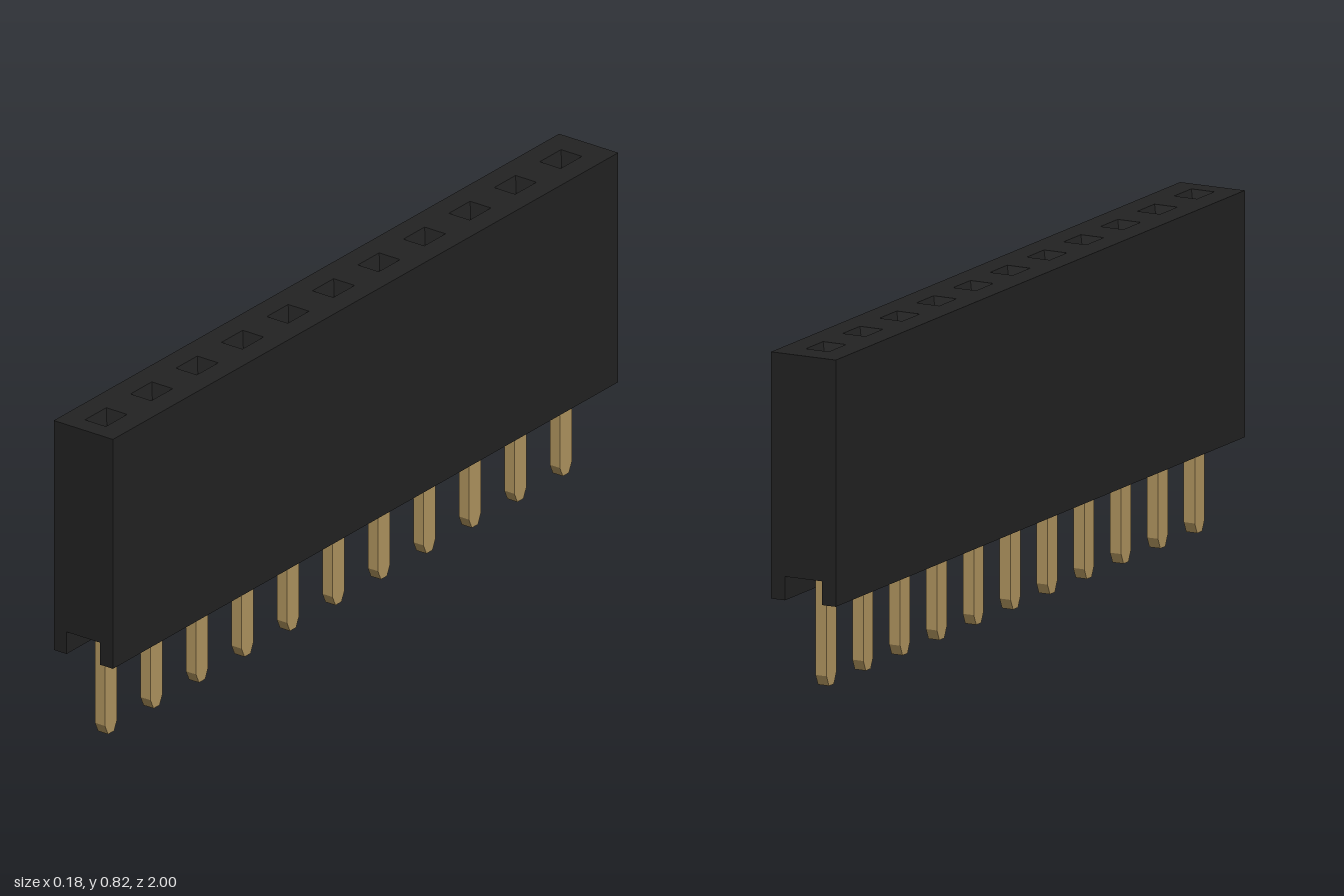
import * as THREE from 'three';

const COUNT = 11, PITCH = 0.18, FIRST_Z = -0.89;
const TOP = 0.825, SLOT_Y = 0.28, FOOT_Y = 0.222, HALF_W = 0.088, SLOT_HALF = 0.05;
const HOLE_X = 0.031, HOLE_Z = 0.042, FUNNEL = 0.035;
const pinZ = Array.from({ length: COUNT }, (_, i) => FIRST_Z + i * PITCH);

function rect(path, cx, cy, hx, hy) {
  path.moveTo(cx - hx, cy - hy);
  path.lineTo(cx + hx, cy - hy);
  path.lineTo(cx + hx, cy + hy);
  path.lineTo(cx - hx, cy + hy);
  path.closePath();
  return path;
}

// Block with a row of square sockets whose mouths flare at the top
function housingGeometry() {
  const shape = rect(new THREE.Shape(), 0, 0, HALF_W, 1);
  for (const z of pinZ) shape.holes.push(rect(new THREE.Path(), 0, -z, HOLE_X, HOLE_Z));
  const h = TOP - SLOT_Y;
  const geo = new THREE.ExtrudeGeometry(shape, { depth: h, steps: 2, bevelEnabled: false });
  const p = geo.attributes.position;
  for (let i = 0; i < p.count; i++) {
    const level = p.getZ(i);
    if (level > h * 0.9) continue;
    if (level > h * 0.1) p.setZ(i, h - FUNNEL);
    // Narrow the socket everywhere below its mouth
    if (Math.abs(p.getX(i)) < SLOT_HALF) {
      const k = Math.round((-p.getY(i) - FIRST_Z) / PITCH);
      const c = -pinZ[k];
      p.setX(i, p.getX(i) * 0.6);
      p.setY(i, c + (p.getY(i) - c) * 0.66);
    }
  }
  geo.rotateX(-Math.PI / 2);
  geo.translate(0, SLOT_Y, 0);
  geo.computeVertexNormals();
  return geo;
}

// Flat pin: chamfered tip, shoulder under the block, forked contact inside
function pinGeometry() {
  const half = [
    [0.012, 0], [0.024, 0.026], [0.024, 0.268], [0.04, 0.279],
    [0.04, 0.285], [0.025, 0.285], [0.025, 0.68], [0.016, 0.7], [0.007, 0.68], [0.007, 0.36],
  ];
  const outline = [...half, ...half.slice().reverse().map(([z, y]) => [-z, y])];
  const shape = new THREE.Shape(outline.map(([z, y]) => new THREE.Vector2(z, y)));
  const geo = new THREE.ExtrudeGeometry(shape, { depth: 0.03, bevelEnabled: false });
  geo.translate(0, 0, -0.015);
  geo.rotateY(-Math.PI / 2);
  return geo;
}

export function createModel() {
  const plastic = new THREE.MeshStandardMaterial({ color: 0x222222 });
  plastic.name = 'black plastic';
  const brass = new THREE.MeshStandardMaterial({ color: 0xb29660 });
  brass.name = 'gold metal';

  const model = new THREE.Group();
  model.name = 'pinSocketStrip';
  const add = (name, geo, mat) => {
    const mesh = new THREE.Mesh(geo, mat);
    mesh.name = name;
    model.add(mesh);
    return mesh;
  };

  add('housing', housingGeometry(), plastic);

  // Side rails that leave an open channel along the underside
  const railW = HALF_W - SLOT_HALF, railH = SLOT_Y - FOOT_Y;
  for (const side of [1, -1]) {
    const rail = add(side > 0 ? 'leftRail' : 'rightRail', new THREE.BoxGeometry(railW, railH, 2), plastic);
    rail.position.set(side * (SLOT_HALF + railW / 2), FOOT_Y + railH / 2, 0);
  }

  // Row of contacts
  const pinGeo = pinGeometry();
  pinZ.forEach((z, i) => { add(`pin${i + 1}`, pinGeo, brass).position.z = z; });

  return model;
}
